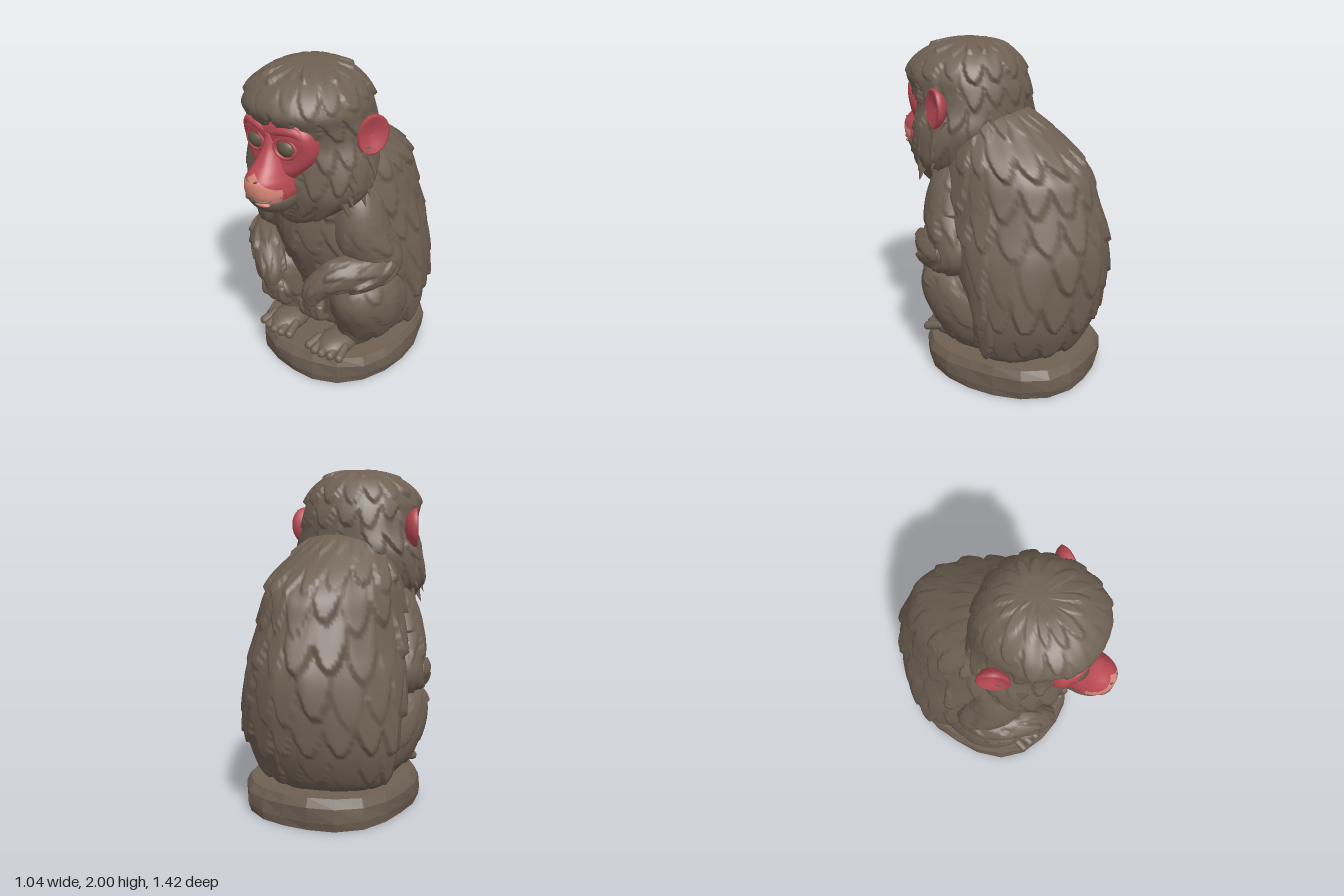
import * as THREE from 'three';

const mat = (name, color) => Object.assign(new THREE.MeshStandardMaterial({ color }), { name });
const V = (x, y, z) => new THREE.Vector3(x, y, z);
const hash = (a, b) => { const s = Math.sin(a * 127.1 + b * 311.7) * 43758.5453; return s - Math.floor(s); };
const spline = (pts) => new THREE.CatmullRomCurve3(pts, false, 'catmullrom', 0.5);

// Surface from rings stacked top to bottom; each section is [y, halfWidth, zFront, zBack, xCentre]
function loft(sections, power = 2) {
  const a = spline(sections.map(s => V(s[0], s[1], s[4] || 0)));
  const b = spline(sections.map(s => V(s[2], s[3], 0)));
  const bend = (c) => Math.sign(c) * Math.pow(Math.abs(c), 2 / power);
  return (u, v) => {
    const p = a.getPoint(v), q = b.getPoint(v), t = u * Math.PI * 2;
    return V(p.z + p.y * bend(Math.sin(t)), p.x, (q.x + q.y) / 2 + (q.x - q.y) / 2 * bend(Math.cos(t)));
  };
}

// Surface around a path with a radius at each point
function limb(points, radii, ref = V(0.7, 0, 0.7)) {
  const path = spline(points.map(p => V(...p))), rad = spline(radii.map(r => V(r, 0, 0)));
  return (u, v) => {
    const T = path.getTangent(v), N = ref.clone().addScaledVector(T, -ref.dot(T)).normalize();
    const B = N.clone().cross(T), r = rad.getPoint(v).x, t = u * Math.PI * 2;
    return path.getPoint(v).addScaledVector(N, r * Math.cos(t)).addScaledVector(B, r * Math.sin(t));
  };
}

// Height of overlapping pointed locks of fur, staggered row by row
function fur(u, v, locks, rows) {
  const y = v * rows;
  for (let r = Math.floor(y) - 1; ; r++) {
    const c = u * locks + (r & 1 ? 0.5 : 0) + 0.2 * Math.sin(r * 2.3);
    const id = ((Math.floor(c) % locks) + locks) % locks, a = Math.abs(2 * (c - Math.floor(c)) - 1);
    const edge = r + 1 - 0.7 * a * a + 0.4 * hash(id, r);
    if (y < edge) return Math.max(0, 1 - (edge - y) / 1.4) * (1 - 0.5 * a * a) * (0.35 + 0.75 * hash(r, id));
  }
}

// Closed skin over a surface, with optional fur and a rule that picks a material group
function skin(surface, nu, nv, coat = null, pick = null) {
  const pos = [], tris = [[], []], e = 1e-3;
  for (let i = 0; i <= nv; i++) for (let j = 0; j < nu; j++) {
    const u = j / nu, v = i / nv, p = surface(u, v);
    if (coat) {
      const v0 = Math.max(0, v - e), v1 = Math.min(1, v + e);
      const n = surface(u, v1).sub(surface(u, v0)).cross(surface(u + e, v).sub(surface(u - e, v))).normalize();
      p.addScaledVector(n, coat.depth * Math.min(1, 4 * v, 8 * (1 - v)) * (fur(u, v, coat.locks, coat.rows) - 0.2));
    }
    pos.push(p.x, p.y, p.z);
  }
  const face = (a, b, c) => {
    const mid = [0, 1, 2].map(k => (pos[a * 3 + k] + pos[b * 3 + k] + pos[c * 3 + k]) / 3);
    tris[pick && pick(...mid) ? 1 : 0].push(a, b, c);
  };
  for (let i = 0; i < nv; i++) for (let j = 0; j < nu; j++) {
    const k = (j + 1) % nu, A = i * nu + j, B = i * nu + k, C = A + nu, D = B + nu;
    face(A, C, D); face(A, D, B);
  }
  // end caps
  for (const row of [0, nv]) {
    const mid = [0, 0, 0], c = pos.length / 3;
    for (let j = 0; j < nu; j++) for (let k = 0; k < 3; k++) mid[k] += pos[(row * nu + j) * 3 + k] / nu;
    pos.push(...mid);
    for (let j = 0; j < nu; j++) {
      const a = row * nu + j, b = row * nu + (j + 1) % nu;
      row ? face(c, b, a) : face(c, a, b);
    }
  }
  const g = new THREE.BufferGeometry();
  g.setAttribute('position', new THREE.Float32BufferAttribute(pos, 3));
  g.setIndex([...tris[0], ...tris[1]]);
  if (pick) { g.addGroup(0, tris[0].length, 0); g.addGroup(tris[0].length, tris[1].length, 1); }
  g.computeVertexNormals();
  return g;
}

function mirrored(geo) {
  const g = geo.clone().scale(-1, 1, 1), ix = g.index.array;
  for (let i = 0; i < ix.length; i += 3) [ix[i], ix[i + 1]] = [ix[i + 1], ix[i]];
  return g;
}

export function createModel() {
  const model = new THREE.Group();
  model.name = 'seatedMonkey';
  const brown = mat('brownFur', 0x6e6053), red = mat('redSkin', 0xb94a53);
  const pink = mat('pinkMuzzle', 0xdb8779), eyeMat = mat('eyeOlive', 0x605846);
  const add = (name, geo, m) => {
    const mesh = new THREE.Mesh(geo, m);
    mesh.name = name;
    model.add(mesh);
  };
  const pair = (name, geo, m) => { add(name + 'Left', geo, m); add(name + 'Right', mirrored(geo), m); };
  const ball = (x, y, z, a, b, c) => new THREE.SphereGeometry(1, 20, 14).scale(a, b, c).translate(x, y, z);

  // faceted rock slab, slightly squared in plan
  let rock = new THREE.LatheGeometry([[0, 0], [0.98, 0], [1, 0.05], [1, 0.13], [0.95, 0.18], [0, 0.19]]
    .map(p => new THREE.Vector2(...p)), 20);
  const rp = rock.attributes.position;
  for (let i = 0; i < rp.count; i++) {
    const x = rp.getX(i), y = rp.getY(i), z = rp.getZ(i), t = Math.atan2(x, z);
    const k = 1 + 0.012 * Math.sin(5 * t + y * 20) + 0.07 * Math.sin(2 * t) ** 2;
    rp.setXYZ(i, x * 0.48 * k, y > 0.1 ? y + 0.008 * Math.sin(4 * t) * Math.hypot(x, z) : y, z * 0.53 * k - 0.095);
  }
  rock = rock.toNonIndexed();
  rock.computeVertexNormals();
  add('rockBase', rock, brown);

  // torso
  add('torso', skin(loft([
    [1.64, 0.12, 0.2, -0.08], [1.59, 0.23, 0.26, -0.19], [1.49, 0.31, 0.3, -0.34], [1.39, 0.37, 0.35, -0.47],
    [1.28, 0.4, 0.4, -0.575], [1.15, 0.425, 0.41, -0.615], [1.0, 0.455, 0.4, -0.66], [0.86, 0.485, 0.36, -0.69],
    [0.7, 0.5, 0.28, -0.69], [0.55, 0.5, 0.21, -0.67], [0.42, 0.49, 0.17, -0.64], [0.3, 0.455, 0.13, -0.585],
    [0.21, 0.41, 0.1, -0.52], [0.16, 0.34, 0.05, -0.44]], 1.72), 200, 90, { depth: 0.04, locks: 18, rows: 8 }), brown);

  // head with brow, cheeks and bib
  add('head', skin(loft([
    [1.995, 0.03, 0.24, 0.15], [1.985, 0.13, 0.35, 0.06], [1.945, 0.225, 0.46, -0.02], [1.88, 0.295, 0.54, -0.07],
    [1.8, 0.335, 0.58, -0.105], [1.72, 0.335, 0.53, -0.125], [1.62, 0.35, 0.49, -0.125], [1.52, 0.39, 0.485, -0.11],
    [1.42, 0.4, 0.49, -0.06], [1.32, 0.38, 0.49, 0], [1.22, 0.29, 0.465, 0.05], [1.13, 0.17, 0.435, 0.1],
    [1.06, 0.04, 0.39, 0.2]], 2.2), 170, 80, { depth: 0.035, locks: 16, rows: 7 }), brown);

  // pointed cheek ruff locks
  for (let i = 0; i < 8; i++) {
    const row = i % 4, layer = Math.floor(i / 4);
    const g = new THREE.ConeGeometry(0.06, 0.17, 8).scale(0.5, 1, 1).rotateZ(Math.PI + 0.4);
    pair('cheekLock' + i, g.translate(0.39 - row * row * 0.004 - layer * 0.025, 1.5 - row * 0.065 - layer * 0.03,
      0.18 + layer * 0.12 + row * 0.01), brown);
  }

  // bare face mask
  add('face', skin(loft([[1.765, 0.13, 0.53, 0.36], [1.745, 0.195, 0.555, 0.36], [1.69, 0.235, 0.565, 0.36],
    [1.61, 0.24, 0.55, 0.35], [1.54, 0.215, 0.55, 0.34], [1.48, 0.165, 0.56, 0.32], [1.41, 0.11, 0.53, 0.32]], 2.6), 48, 24), red);
  // muzzle, pink at the tip
  add('muzzle', skin(loft([[1.69, 0.035, 0.57, 0.4], [1.61, 0.05, 0.59, 0.4], [1.54, 0.075, 0.635, 0.38],
    [1.48, 0.1, 0.69, 0.36], [1.44, 0.118, 0.71, 0.35], [1.38, 0.128, 0.705, 0.35], [1.335, 0.12, 0.685, 0.35]], 2.3),
  100, 70, null, (x, y, z) => z > 0.595 && y < 1.5 - Math.abs(x) * 0.75), [red, pink]);
  add('chin', skin(loft([[1.355, 0.115, 0.68, 0.36], [1.33, 0.125, 0.685, 0.36], [1.29, 0.118, 0.66, 0.36],
    [1.25, 0.09, 0.615, 0.38], [1.23, 0.03, 0.54, 0.42]], 2.3), 48, 20), brown);
  add('lowerLip', ball(0.03, 1.328, 0.66, 0.055, 0.016, 0.028), pink);
  add('mouthLine', new THREE.TubeGeometry(spline([V(-0.115, 1.37, 0.6), V(-0.06, 1.35, 0.682), V(0, 1.365, 0.702),
    V(0.06, 1.35, 0.682), V(0.115, 1.37, 0.6)]), 24, 0.008, 6), brown);
  pair('nostril', ball(0, 0, 0, 0.019, 0.006, 0.008).rotateZ(0.6).translate(0.024, 1.462, 0.697), brown);

  // eyes with lids and brow ridge
  pair('eye', ball(0.103, 1.625, 0.53, 0.06, 0.052, 0.045), eyeMat);
  pair('eyelid', new THREE.TorusGeometry(0.064, 0.012, 8, 28).scale(1, 0.88, 1).rotateY(0.15).translate(0.103, 1.625, 0.547), red);
  pair('browRidge', skin(limb([[0.02, 1.69, 0.545], [0.09, 1.72, 0.545], [0.165, 1.715, 0.525], [0.21, 1.65, 0.5]],
    [0.02, 0.028, 0.026, 0.015], V(0, 0, 1)), 12, 16), red);

  // cupped ears
  pair('ear', new THREE.LatheGeometry([[0, -0.05], [0.07, -0.035], [0.1, 0], [0.106, 0.022], [0.092, 0.032], [0.07, 0.012], [0, 0]]
    .map(p => new THREE.Vector2(...p)), 28).rotateX(Math.PI / 2).scale(0.88, 1.1, 1).rotateZ(-0.15).rotateY(1.08)
    .translate(0.38, 1.655, 0.17), red);

  // folded legs
  pair('leg', skin(loft([[0.715, 0.05, 0.2, 0.02, 0.32], [0.685, 0.14, 0.29, -0.08, 0.32], [0.6, 0.19, 0.34, -0.18, 0.31],
    [0.5, 0.2, 0.325, -0.23, 0.305], [0.4, 0.2, 0.275, -0.25, 0.285], [0.3, 0.18, 0.22, -0.23, 0.26],
    [0.22, 0.13, 0.2, -0.16, 0.23], [0.17, 0.1, 0.19, -0.1, 0.22]]), 72, 46, { depth: 0.025, locks: 9, rows: 4 }), brown);

  // arms, resting on the knees
  pair('arm', skin(limb([[0.23, 1.32, 0.1], [0.27, 1.17, 0.14], [0.31, 0.99, 0.13], [0.385, 0.82, 0.05], [0.36, 0.79, 0.2],
    [0.265, 0.78, 0.325], [0.175, 0.7, 0.395], [0.15, 0.6, 0.41]],
  [0.09, 0.15, 0.16, 0.125, 0.115, 0.1, 0.075, 0.055]), 60, 76, { depth: 0.025, locks: 8, rows: 8 }), brown);
  pair('hand', ball(0.15, 0.585, 0.4, 0.085, 0.075, 0.048), brown);
  for (let i = 0; i < 4; i++) {
    const x = 0.085 + i * 0.043, d = i === 3 ? 0.02 : 0;
    pair('finger' + i, skin(limb([[x, 0.6, 0.415], [x, 0.53, 0.415], [x, 0.48 + d, 0.385], [x, 0.455 + d, 0.34]],
      [0.024, 0.026, 0.024, 0.014], V(1, 0, 0)), 12, 12), brown);
  }
  pair('thumb', skin(limb([[0.1, 0.62, 0.39], [0.065, 0.57, 0.39], [0.06, 0.52, 0.375]], [0.022, 0.023, 0.015], V(0, 0, 1)), 12, 10), brown);

  // feet and toes
  pair('foot', ball(0.195, 0.21, 0.22, 0.11, 0.07, 0.16), brown);
  for (let i = 0; i < 5; i++) {
    const g = new THREE.CapsuleGeometry(0.028, 0.09, 5, 10).rotateX(Math.PI / 2 + 0.25).rotateY((i - 2) * 0.12);
    pair('toe' + i, g.translate(0.092 + i * 0.051, 0.216, 0.342 - Math.abs(i - 1.5) * 0.014), brown);
  }
  return model;
}
